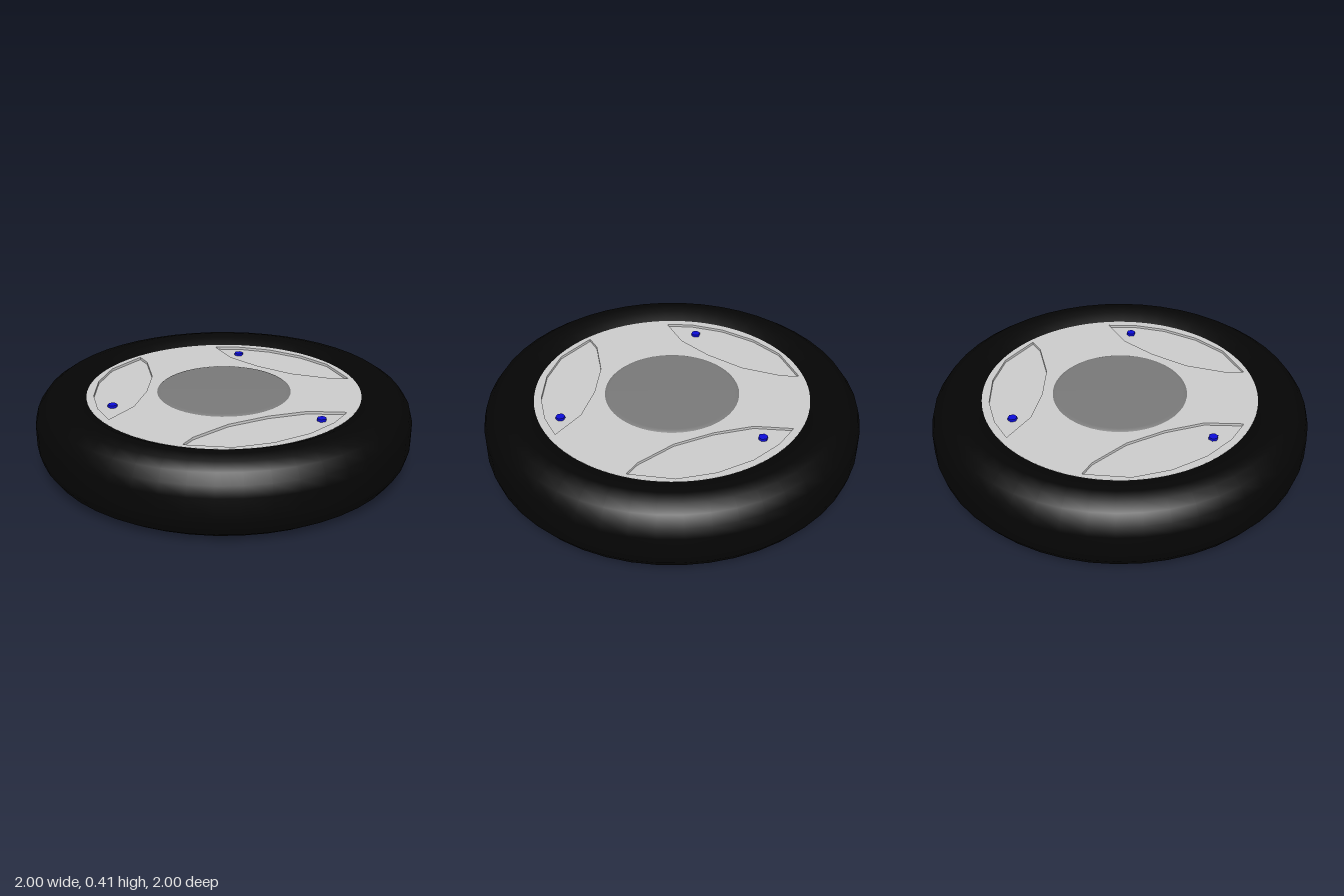
import * as THREE from 'three';

const TAU = Math.PI * 2;

// Thin flat plate from a plan outline (x, z): top at the given height, thickness downwards
function plate(shape, top, depth, material) {
  const geometry = new THREE.ExtrudeGeometry(shape, { depth, bevelEnabled: false, curveSegments: 48 });
  geometry.rotateX(Math.PI / 2);
  geometry.translate(0, top, 0);
  return new THREE.Mesh(geometry, material);
}

// Upright wall along a closed plan outline
function wall(points, bottom, top, material) {
  const corners = [];
  points.forEach((a, i) => {
    const b = points[(i + 1) % points.length];
    corners.push(a.x, bottom, a.y, b.x, bottom, b.y, b.x, top, b.y);
    corners.push(a.x, bottom, a.y, b.x, top, b.y, a.x, top, a.y);
  });
  const geometry = new THREE.BufferGeometry();
  geometry.setAttribute('position', new THREE.Float32BufferAttribute(corners, 3));
  geometry.computeVertexNormals();
  return new THREE.Mesh(geometry, material);
}

// Surface turned about the vertical axis from (radius, height) pairs
function turned(profile, material) {
  return new THREE.Mesh(new THREE.LatheGeometry(profile.map(([r, y]) => new THREE.Vector2(r, y)), 48), material);
}

export function createModel() {
  const group = new THREE.Group();
  const grey = new THREE.MeshStandardMaterial({ color: 0xcccccc });
  const wallGrey = new THREE.MeshStandardMaterial({ color: 0xcccccc, side: THREE.DoubleSide });
  const hubGrey = new THREE.MeshStandardMaterial({ color: 0x797979 });
  const black = new THREE.MeshStandardMaterial({ color: 0x050505 });
  const blue = new THREE.MeshStandardMaterial({ color: 0x0c0cd8 });

  const add = (mesh, name) => {
    mesh.name = name;
    group.add(mesh);
    return mesh;
  };

  // Tyre: flat underside, rounded shoulders, top sloping in to the disc
  const H = 0.41;
  const shoulder = [[0.85, 0], [0.905, 0.014], [0.95, 0.045], [0.985, 0.095], [1, 0.15]];
  const upper = shoulder.map(([r, y]) => [r, H - y]).reverse();
  add(turned([[0.73, 0], ...shoulder, ...upper, [0.79, 0.4], [0.73, 0.372]], black), 'tyre');
  add(turned([[0.73, 0.372], [0.73, 0]], black), 'tyreInnerWall');

  // Curved insert outline, repeated three times around the disc
  const outline = [[-0.016, -0.706], [-0.25, -0.663], [-0.42, -0.556], [-0.56, -0.406], [-0.647, -0.246],
    [-0.684, -0.102], [-0.49, -0.15], [-0.315, -0.267], [-0.155, -0.42], [-0.037, -0.615]];
  const outlines = [0, 1, 2].map((i) => outline.map(([x, z]) =>
    new THREE.Vector2(x, z).rotateAround(new THREE.Vector2(), (i * TAU) / 3)));

  // Thin wheel disc with openings
  const disc = new THREE.Shape().absarc(0, 0, 0.73, 0, TAU);
  disc.holes = outlines.map((points) => new THREE.Path(points));
  add(plate(disc, 0.373, 0.003, grey), 'wheelDisc');

  // Shallow pans set into the openings
  for (const points of outlines) {
    add(plate(new THREE.Shape(points), 0.359, 0.003, grey), 'panFloor');
    add(wall(points, 0.356, 0.373, wallGrey), 'panWall');
  }

  // Low hub cap with a softly rounded rim, and its boss under the disc
  add(turned([[0.357, 0.373], [0.349, 0.378], [0.336, 0.381], [0, 0.381]], hubGrey), 'hubCap');
  const boss = add(new THREE.Mesh(new THREE.CylinderGeometry(0.36, 0.36, 0.008, 48), grey), 'hubBoss');
  boss.position.y = 0.367;

  // Small hexagonal studs through the pans
  for (const [x, z] of [[-0.556, -0.246], [0.465, -0.374], [0.107, 0.604]]) {
    const stud = add(new THREE.Mesh(new THREE.CylinderGeometry(0.025, 0.025, 0.021, 6), blue), 'stud');
    stud.position.set(x, 0.3625, z);
  }

  return group;
}
